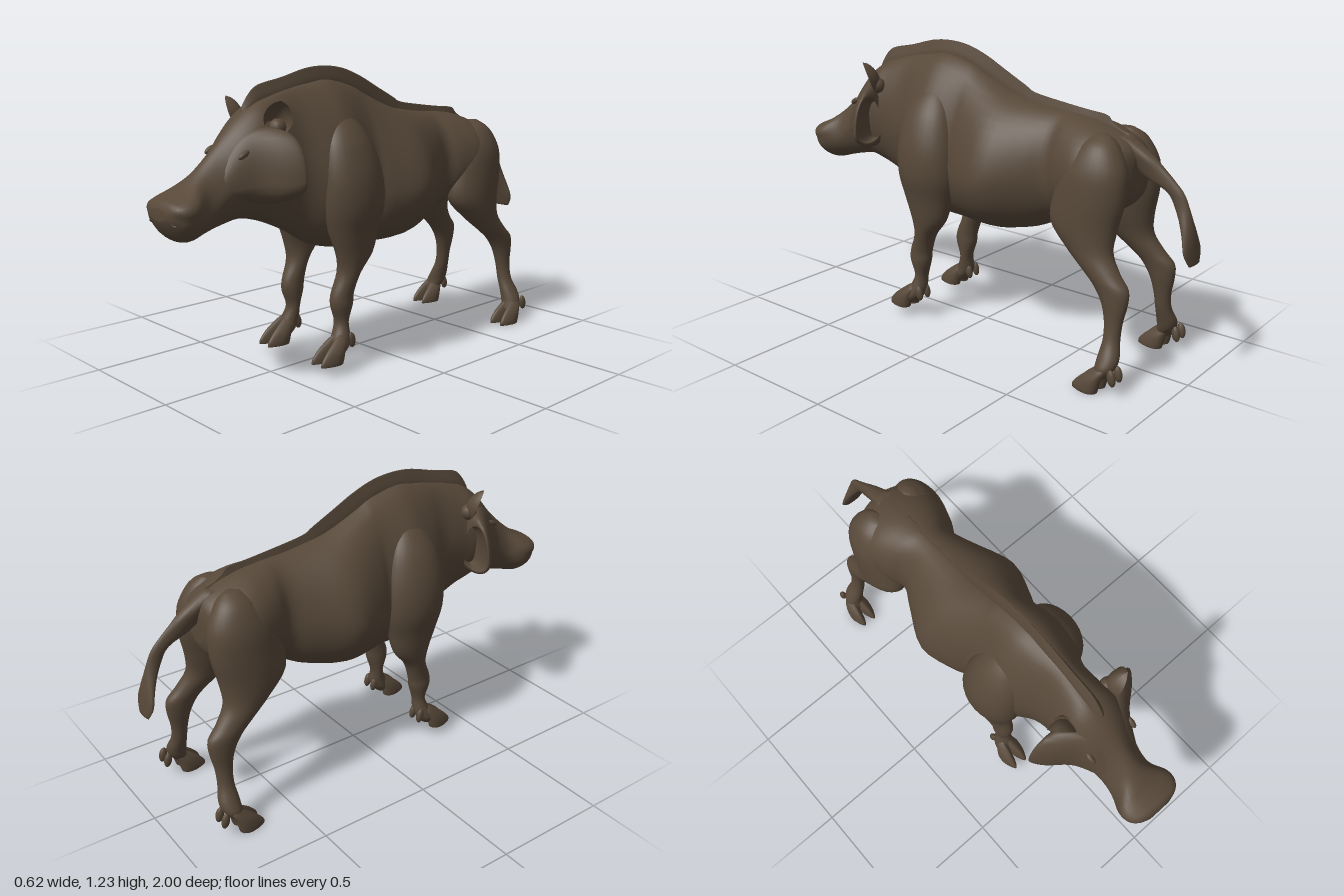
import * as THREE from 'three';

const hide = new THREE.MeshStandardMaterial({ color: 0x574839, side: THREE.DoubleSide });
hide.name = 'brownHide';

// Catmull-Rom value between table rows
function sampleRow(rows, t) {
  const i = Math.min(Math.floor(t), rows.length - 2), f = t - i;
  const at = (k) => rows[Math.max(0, Math.min(rows.length - 1, k))];
  return rows[i].map((b, c) => {
    const a = at(i - 1)[c], n = at(i + 1)[c], d = at(i + 2)[c];
    return b + 0.5 * f * (n - a + f * (2 * a - 5 * b + 4 * n - d + f * (3 * (b - n) + d - a)));
  });
}

// Closed smooth skin through cross-sections; place(row, cos, sin) gives a point
function loft(rows, place, radial = 28, sub = 4) {
  const pos = [], idx = [], rings = (rows.length - 1) * sub + 1;
  for (let i = 0; i < rings; i++) {
    const row = sampleRow(rows, i / sub);
    for (let j = 0; j < radial; j++) {
      const a = (j / radial) * Math.PI * 2;
      pos.push(...place(row, Math.cos(a), Math.sin(a)));
    }
  }
  for (let i = 0; i < rings - 1; i++) {
    for (let j = 0; j < radial; j++) {
      const a = i * radial + j, b = i * radial + (j + 1) % radial;
      idx.push(a, b, a + radial, b, b + radial, a + radial);
    }
  }
  // end caps
  for (const end of [0, rings - 1]) {
    const c = [0, 0, 0], centre = pos.length / 3;
    for (let j = 0; j < radial; j++) for (let k = 0; k < 3; k++) c[k] += pos[(end * radial + j) * 3 + k] / radial;
    pos.push(...c);
    for (let j = 0; j < radial; j++) {
      const a = end * radial + j, b = end * radial + (j + 1) % radial;
      if (end === 0) idx.push(centre, b, a); else idx.push(centre, a, b);
    }
  }
  const g = new THREE.BufferGeometry();
  g.setAttribute('position', new THREE.Float32BufferAttribute(pos, 3));
  g.setIndex(idx);
  g.computeVertexNormals();
  return g;
}

// row: z, top, bottom, widest height, half width, narrowing towards the top
const trunkSection = ([z, top, bot, mid, hw, pinch], c, s) =>
  [hw * c * (1 - pinch * Math.max(s, 0)), mid + s * (s > 0 ? top - mid : mid - bot), z];
// row: y, x, z, x radius, z radius
const limbSection = ([y, x, z, rx, rz], c, s) => [x + rx * c, y, z + rz * s];
const toeSection = ([y, x, z, rx, rz], c, s) => [x + rx * c * (1 - 0.4 * s), y, z + rz * s];
// row: z, x, y, x radius, height above, depth below
const cheekSection = ([z, x, y, rx, up, down], c, s) => [x + rx * c, y + s * (s > 0 ? up : down), z];
// row: z, top, bottom, half width
const crestSection = ([z, top, bot, hw], c, s) => [hw * c * (1 - 0.8 * Math.max(s, 0)), (top + bot) / 2 + s * (top - bot) / 2, z];

function mirrored(geometry) {
  const g = geometry.clone().scale(-1, 1, 1), ix = g.index.array;
  for (let i = 0; i < ix.length; i += 3) [ix[i], ix[i + 1]] = [ix[i + 1], ix[i]];
  g.computeVertexNormals();
  return g;
}

// Cupped leaf-shaped ear
function earGeometry() {
  const g = new THREE.PlaneGeometry(1, 1, 8, 10), p = g.attributes.position;
  for (let i = 0; i < p.count; i++) {
    const u = p.getX(i), v = p.getY(i) + 0.5;
    const w = 0.11 * Math.sin(Math.PI * (0.15 + 0.85 * v)) ** 0.6;
    p.setXYZ(i, u * w, v * 0.13, (4 * u * u - 1) * 0.4 * w + 0.02 * v);
  }
  g.rotateY(0.85).rotateZ(-0.27).translate(0.125, 1.0, 0.55);
  g.computeVertexNormals();
  return g;
}

export function createModel() {
  const model = new THREE.Group();
  model.name = 'wildBoar';
  const add = (name, geometry) => {
    const mesh = new THREE.Mesh(geometry, hide);
    mesh.name = name;
    model.add(mesh);
  };
  const addPair = (name, geometry) => {
    add(name + 'Left', geometry);
    add(name + 'Right', mirrored(geometry));
  };

  // Body, neck and snout
  add('trunkAndHead', loft([
    [-0.745, 0.88, 0.74, 0.81, 0.05, 0], [-0.725, 0.92, 0.69, 0.8, 0.13, 0], [-0.67, 0.955, 0.65, 0.8, 0.185, 0],
    [-0.57, 0.99, 0.61, 0.8, 0.205, 0], [-0.47, 1.005, 0.58, 0.78, 0.18, 0], [-0.4, 1.01, 0.56, 0.76, 0.15, 0],
    [-0.3, 1.02, 0.51, 0.75, 0.2, 0.1], [-0.15, 1.05, 0.475, 0.73, 0.268, 0.15], [0, 1.115, 0.47, 0.72, 0.225, 0.2],
    [0.07, 1.15, 0.47, 0.74, 0.195, 0.2], [0.2, 1.18, 0.48, 0.8, 0.225, 0.3], [0.3, 1.17, 0.51, 0.8, 0.2, 0.3],
    [0.4, 1.155, 0.57, 0.85, 0.14, 0.25], [0.5, 1.13, 0.62, 0.88, 0.13, 0.1], [0.58, 1.1, 0.65, 0.88, 0.14, 0],
    [0.66, 1.04, 0.665, 0.86, 0.125, 0.1], [0.75, 0.945, 0.65, 0.79, 0.1, 0.3], [0.83, 0.87, 0.63, 0.73, 0.1, 0.2],
    [0.9, 0.815, 0.612, 0.72, 0.126, -0.2], [0.95, 0.79, 0.63, 0.715, 0.12, -0.4],
    [0.985, 0.775, 0.675, 0.725, 0.09, -0.4], [1.0, 0.75, 0.705, 0.728, 0.05, 0],
  ], trunkSection, 40));

  // Bristle crest along the spine
  add('crest', loft([
    [-0.72, 0.93, 0.9, 0.008], [-0.69, 0.955, 0.9, 0.01], [-0.66, 0.965, 0.9, 0.01], [-0.62, 0.99, 0.9, 0.01],
    [-0.59, 1.015, 0.92, 0.01], [-0.5, 1.025, 0.95, 0.012], [-0.38, 1.04, 0.95, 0.012], [-0.25, 1.06, 0.96, 0.012],
    [-0.2, 1.085, 0.97, 0.012], [-0.1, 1.135, 1.0, 0.013], [0, 1.185, 1.05, 0.015], [0.1, 1.22, 1.1, 0.016],
    [0.2, 1.232, 1.12, 0.017], [0.3, 1.225, 1.11, 0.018], [0.42, 1.195, 1.09, 0.02], [0.54, 1.17, 1.06, 0.022],
    [0.59, 1.13, 1.05, 0.02], [0.62, 1.085, 1.04, 0.012],
  ], crestSection, 16));

  // Flared cheeks
  addPair('cheek', loft([
    [0.57, 0.1, 0.84, 0.05, 0.08, 0.06], [0.535, 0.17, 0.83, 0.08, 0.13, 0.06], [0.52, 0.19, 0.825, 0.078, 0.15, 0.06],
    [0.535, 0.16, 0.82, 0.11, 0.185, 0.075], [0.58, 0.105, 0.81, 0.127, 0.21, 0.08], [0.64, 0.065, 0.81, 0.095, 0.2, 0.08],
    [0.7, 0.045, 0.8, 0.075, 0.16, 0.06], [0.79, 0.03, 0.78, 0.05, 0.05, 0.03],
  ], cheekSection, 32));

  // Ears, eyes and nostrils
  addPair('ear', earGeometry());
  addPair('earBase', new THREE.SphereGeometry(0.035, 14, 10).translate(0.115, 1.015, 0.535));
  addPair('eye', new THREE.SphereGeometry(1, 14, 10).scale(0.012, 0.012, 0.028).rotateX(0.5).translate(0.108, 0.925, 0.69));
  addPair('nostril', new THREE.TorusGeometry(0.013, 0.005, 6, 14).rotateY(0.7).translate(0.08, 0.705, 0.978));

  // Legs, from shoulder or haunch to ankle
  addPair('frontLeg', loft([
    [1.06, 0.09, 0.2, 0.02, 0.03], [1.0, 0.115, 0.2, 0.06, 0.08], [0.92, 0.14, 0.2, 0.088, 0.12],
    [0.8, 0.158, 0.195, 0.108, 0.145], [0.68, 0.165, 0.19, 0.105, 0.145], [0.58, 0.165, 0.19, 0.082, 0.12],
    [0.48, 0.168, 0.188, 0.06, 0.088], [0.4, 0.162, 0.215, 0.05, 0.05], [0.32, 0.157, 0.245, 0.043, 0.052],
    [0.27, 0.157, 0.25, 0.043, 0.05], [0.2, 0.155, 0.25, 0.034, 0.028], [0.14, 0.165, 0.262, 0.04, 0.04],
    [0.1, 0.17, 0.28, 0.044, 0.04], [0.07, 0.17, 0.295, 0.03, 0.03],
  ], limbSection));
  addPair('hindLeg', loft([
    [0.96, 0.09, -0.63, 0.02, 0.03], [0.92, 0.105, -0.63, 0.065, 0.08], [0.83, 0.12, -0.62, 0.093, 0.135],
    [0.72, 0.13, -0.605, 0.094, 0.152], [0.61, 0.14, -0.59, 0.085, 0.145], [0.52, 0.155, -0.63, 0.065, 0.1],
    [0.45, 0.17, -0.695, 0.05, 0.08], [0.4, 0.178, -0.745, 0.042, 0.075], [0.34, 0.182, -0.765, 0.036, 0.055],
    [0.27, 0.188, -0.768, 0.03, 0.038], [0.2, 0.2, -0.77, 0.032, 0.034], [0.14, 0.225, -0.775, 0.04, 0.043],
    [0.1, 0.24, -0.77, 0.044, 0.04], [0.06, 0.247, -0.75, 0.03, 0.03],
  ], limbSection));

  // Split hooves and dewclaws
  for (const [name, x, y, z] of [['front', 0.172, 0.045, 0.29], ['hind', 0.25, 0.003, -0.76]]) {
    for (const d of [-1, 1]) {
      const part = d < 0 ? 'Inner' : 'Outer';
      addPair(name + part + 'Toe', loft([
        [0.11, 0.014 * d, -0.01, 0.006, 0.01], [0.09, 0.018 * d, 0, 0.02, 0.03], [0.055, 0.026 * d, 0.03, 0.026, 0.045],
        [0.02, 0.029 * d, 0.05, 0.027, 0.056], [0, 0.029 * d, 0.055, 0.026, 0.055],
      ], toeSection, 18).translate(x, y, z));
      addPair(name + part + 'Dewclaw', new THREE.SphereGeometry(1, 12, 8)
        .scale(0.014, 0.034, 0.018).rotateX(0.2).translate(x + 0.024 * d, y + 0.08, z - 0.06));
    }
  }

  // Tail with flat tuft
  add('tail', loft([
    [0.95, 0, -0.66, 0.045, 0.04], [0.885, 0, -0.74, 0.035, 0.06], [0.84, 0, -0.785, 0.025, 0.07],
    [0.8, 0, -0.835, 0.019, 0.065], [0.76, 0, -0.9, 0.016, 0.037], [0.7, 0, -0.934, 0.02, 0.03],
    [0.62, 0, -0.963, 0.045, 0.022], [0.55, 0, -0.98, 0.064, 0.014], [0.5, 0, -0.992, 0.04, 0.007],
  ], limbSection, 18));

  return model;
}
